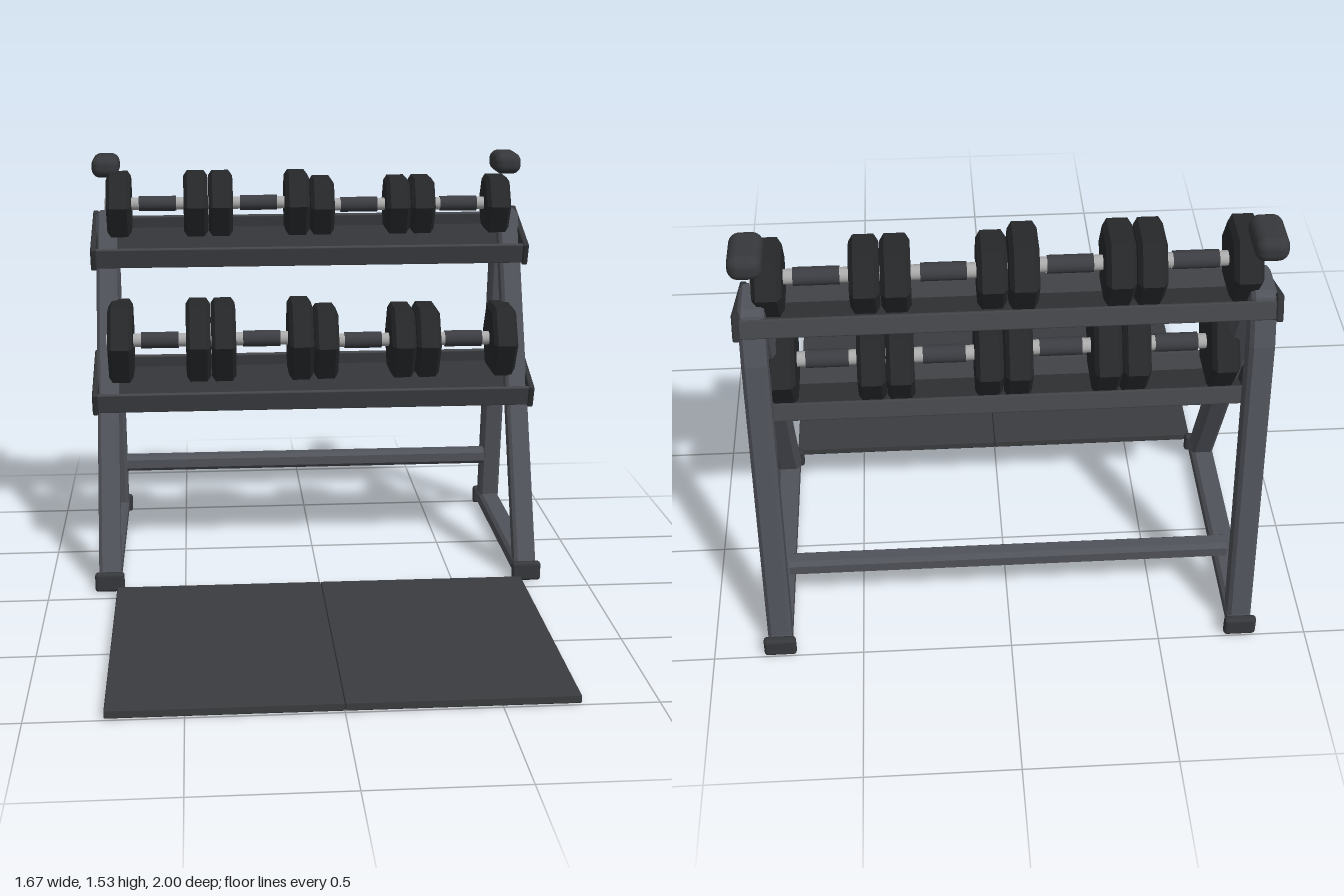
import * as THREE from 'three';
import { RoundedBoxGeometry } from 'three/addons/geometries/RoundedBoxGeometry.js';

const mat = (color, flatShading = false) => new THREE.MeshStandardMaterial({ color, flatShading });
const steel = mat(0x50535a, true);
const trayPaint = mat(0x323437);
const trayEdge = mat(0x434549);
const rubber = mat(0x26282a, true);
const grip = mat(0x3b3d42);
const chrome = mat(0xaaaaaa);
const padFoam = mat(0x36383b);
const floorRubber = mat(0x3a3c3f);

function add(parent, name, geometry, material, x = 0, y = 0, z = 0) {
  const mesh = new THREE.Mesh(geometry, material);
  mesh.name = name;
  mesh.position.set(x, y, z);
  parent.add(mesh);
  return mesh;
}

const rounded = (w, h, d, r, seg = 3) => new RoundedBoxGeometry(w, h, d, seg, r);

// Straight tube with chamfered edges, running along z, centred
function chamferedBar(w, h, length, c) {
  const a = w / 2, b = h / 2;
  const shape = new THREE.Shape([
    [a - c, -b], [a, -b + c], [a, b - c], [a - c, b],
    [c - a, b], [-a, b - c], [-a, c - b], [c - a, -b],
  ].map(([x, y]) => new THREE.Vector2(x, y)));
  return new THREE.ExtrudeGeometry(shape, { depth: length, bevelEnabled: false })
    .translate(0, 0, -length / 2);
}

// Bent leg tube: side outline (distance to the rear, height) extruded sideways
function legGeometry(width) {
  const bevel = 0.012;
  const outline = new THREE.Shape([
    [0.084, 0.05], [0.162, 0.05], [0.69, 1.23], [0.728, 1.23], [0.75, 1.13], [0.894, 0.05],
    [0.97, 0.05], [0.834, 1.135], [0.787, 1.295], [0.77, 1.312], [0.645, 1.312],
  ].map(([u, y]) => new THREE.Vector2(u, y)));
  return new THREE.ExtrudeGeometry(outline, {
    depth: width - 2 * bevel, bevelEnabled: true, bevelSegments: 1,
    bevelThickness: bevel, bevelSize: bevel, bevelOffset: -bevel,
  }).translate(0, 0, bevel - width / 2).rotateY(Math.PI / 2);
}

// One A-shaped side with its foot rail, end caps and top pad
function buildSide(side) {
  const g = new THREE.Group();
  g.name = side > 0 ? 'leftSideFrame' : 'rightSideFrame';
  const x = side * 0.778;
  add(g, 'bentLegs', legGeometry(0.08), steel, x);
  add(g, 'footRail', chamferedBar(0.08, 0.062, 0.91, 0.012), steel, x, 0.036, -0.53);
  for (const z of [-0.075, -0.985]) {
    add(g, 'footCap', rounded(0.108, 0.072, 0.03, 0.012), padFoam, x, 0.036, z);
  }
  add(g, 'topPad', rounded(0.104, 0.082, 0.17, 0.034, 4), padFoam, x, 1.49, -0.742);
  return g;
}

// Tilted tray with lips and end plates
function buildTray(y, z) {
  const g = new THREE.Group();
  g.name = 'tray';
  g.position.set(0, y, z);
  g.rotation.x = 0.337;
  add(g, 'trayFloor', new THREE.BoxGeometry(1.64, 0.014, 0.3), trayPaint, 0, -0.032, 0);
  add(g, 'frontLip', rounded(1.645, 0.08, 0.016, 0.005, 1), trayEdge, 0, 0.001, 0.147);
  add(g, 'rearLip', rounded(1.645, 0.062, 0.016, 0.005, 1), trayEdge, 0, -0.008, -0.147);
  for (const s of [-1, 1]) {
    add(g, 'trayEnd', rounded(0.022, 0.09, 0.323, 0.006, 1), trayPaint, s * 0.824, 0, 0);
  }
  return g;
}

// Hexagonal dumbbell lying along x, corners to front and rear
function buildDumbbell(radius, gripRadius) {
  const g = new THREE.Group();
  g.name = 'dumbbell';
  const t = 0.046, c = 0.014;
  const profile = [[0, -t], [radius - 0.022, -t], [radius, c - t], [radius, t - c], [radius - 0.022, t], [0, t]]
    .map(([r, y]) => new THREE.Vector2(r, y));
  const head = new THREE.LatheGeometry(profile, 6).rotateZ(-Math.PI / 2);
  for (const s of [-1, 1]) add(g, 'hexHead', head, rubber, s * 0.146);
  const rod = (r, l) => new THREE.CylinderGeometry(r, r, l, 20).rotateZ(Math.PI / 2);
  add(g, 'handleBar', rod(gripRadius * 0.83, 0.404), chrome);
  add(g, 'handleGrip', rod(gripRadius, 0.142), grip);
  return g;
}

export function createModel() {
  const model = new THREE.Group();
  model.name = 'dumbbellRack';

  for (const side of [-1, 1]) model.add(buildSide(side));
  const bar = add(model, 'rearCrossbar', chamferedBar(0.064, 0.062, 1.47, 0.014), steel, 0, 0.262, -0.828);
  bar.rotation.y = Math.PI / 2;

  // Two tiers, heavier dumbbells on the right half of each
  const tiers = [
    { trayY: 1.214, z: -0.655, base: 1.235, radii: [0.136, 0.1225], grip: 0.029 },
    { trayY: 0.7, z: -0.46, base: 0.716, radii: [0.167, 0.152], grip: 0.031 },
  ];
  for (const tier of tiers) {
    model.add(buildTray(tier.trayY, tier.z));
    [-0.581, -0.194, 0.194, 0.581].forEach((x, i) => {
      const radius = tier.radii[i < 2 ? 0 : 1];
      const bell = buildDumbbell(radius, tier.grip);
      bell.position.set(x, tier.base + radius * Math.cos(Math.PI / 6), tier.z);
      model.add(bell);
    });
  }

  // Floor mat of four tiles
  for (const x of [-0.375, 0.375]) {
    for (const z of [0.2265, 0.7415]) {
      add(model, 'matTile', rounded(0.749, 0.028, 0.514, 0.004, 1), floorRubber, x, 0.018, z);
    }
  }
  return model;
}
